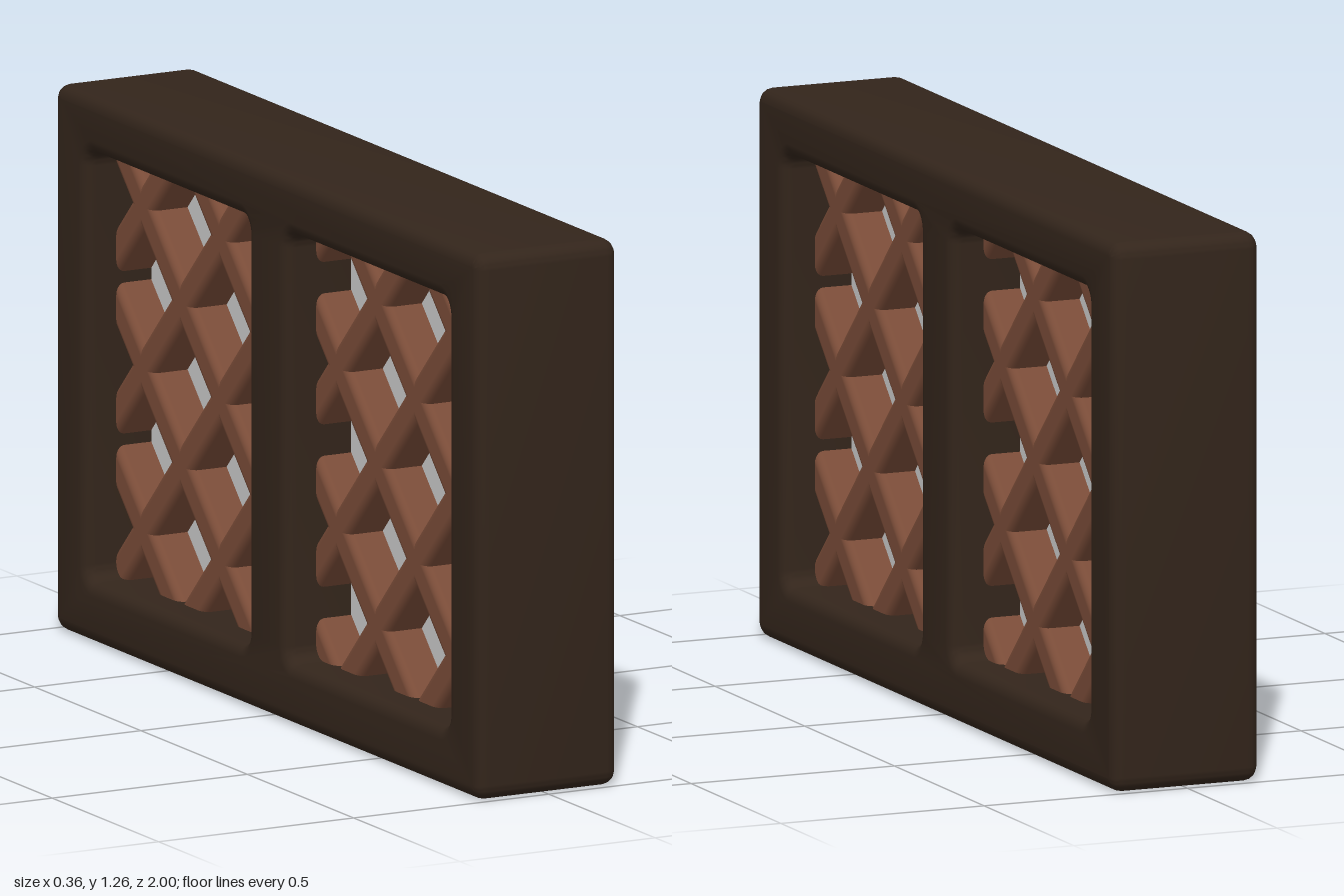
import * as THREE from 'three';
import { toCreasedNormals } from 'three/addons/utils/BufferGeometryUtils.js';
import { RoundedBoxGeometry } from 'three/addons/geometries/RoundedBoxGeometry.js';

const HEIGHT = 1.26, DEPTH = 0.36, BEVEL = 0.03;
const OPEN = { inner: 0.09, outer: 0.85, bottom: 0.14, top: 1.13 };

// Adds a rounded rectangle outline to a Shape or Path
function roundedRect(path, x0, y0, x1, y1, r) {
  path.absarc(x1 - r, y0 + r, r, -Math.PI / 2, 0, false);
  path.absarc(x1 - r, y1 - r, r, 0, Math.PI / 2, false);
  path.absarc(x0 + r, y1 - r, r, Math.PI / 2, Math.PI, false);
  path.absarc(x0 + r, y0 + r, r, Math.PI, Math.PI * 1.5, false);
  path.closePath();
  return path;
}

function addMesh(parent, name, geometry, material) {
  const mesh = new THREE.Mesh(geometry, material);
  mesh.name = name;
  parent.add(mesh);
  return mesh;
}

export function createModel() {
  const model = new THREE.Group();
  model.name = 'latticeWindow';
  const darkWood = new THREE.MeshStandardMaterial({ color: 0x33251b });
  const brownWood = new THREE.MeshStandardMaterial({ color: 0x7a4c38 });
  const glass = new THREE.MeshStandardMaterial({ color: 0xcccccc });

  // Frame with two openings and a central post, edges rounded over
  const outline = roundedRect(new THREE.Shape(), -1, 0, 1, HEIGHT, 0.035);
  for (const [a, b] of [[-OPEN.outer, -OPEN.inner], [OPEN.inner, OPEN.outer]]) {
    outline.holes.push(roundedRect(new THREE.Path(), a, OPEN.bottom, b, OPEN.top, 0.035));
  }
  const frame = new THREE.ExtrudeGeometry(outline, {
    depth: DEPTH - 2 * BEVEL, bevelEnabled: true, bevelThickness: BEVEL,
    bevelSize: BEVEL, bevelOffset: -BEVEL, bevelSegments: 4, curveSegments: 4,
  });
  frame.translate(0, 0, -DEPTH / 2 + BEVEL).rotateY(Math.PI / 2);
  addMesh(model, 'frame', toCreasedNormals(frame, 0.7), darkWood);

  // Diagonal lattice bars, both directions, ending inside the frame
  const lattice = new THREE.Group();
  lattice.name = 'lattice';
  model.add(lattice);
  const stepZ = 0.1835, stepY = 0.1875, midY = 0.643;
  const limitZ = 0.91, lowY = 0.08, highY = 1.19;
  for (const dir of [1, -1]) {
    for (let k = -4; k <= 4; k++) {
      const z0 = k * 2 * stepZ;
      const ends = [-limitZ, limitZ].map((z) => (z - z0) / (dir * stepZ)).sort((a, b) => a - b);
      const t0 = Math.max(ends[0], (lowY - midY) / stepY);
      const t1 = Math.min(ends[1], (highY - midY) / stepY);
      if (t1 - t0 < 0.5) continue;
      const length = (t1 - t0) * Math.hypot(stepZ, stepY);
      const t = (t0 + t1) / 2;
      const bar = addMesh(lattice, 'latticeBar',
        new RoundedBoxGeometry(0.2, length, 0.078, 3, 0.02), brownWood);
      bar.position.set(0, midY + stepY * t, z0 + dir * stepZ * t);
      bar.rotation.x = Math.atan2(dir * stepZ, stepY);
    }
  }

  // Thin glass pane in the middle of each opening
  for (const side of [1, -1]) {
    const pane = addMesh(model, side > 0 ? 'frontPane' : 'backPane',
      new THREE.BoxGeometry(0.02, OPEN.top - OPEN.bottom + 0.04, OPEN.outer - OPEN.inner + 0.04), glass);
    pane.position.set(0, (OPEN.top + OPEN.bottom) / 2, side * (OPEN.outer + OPEN.inner) / 2);
  }
  return model;
}
